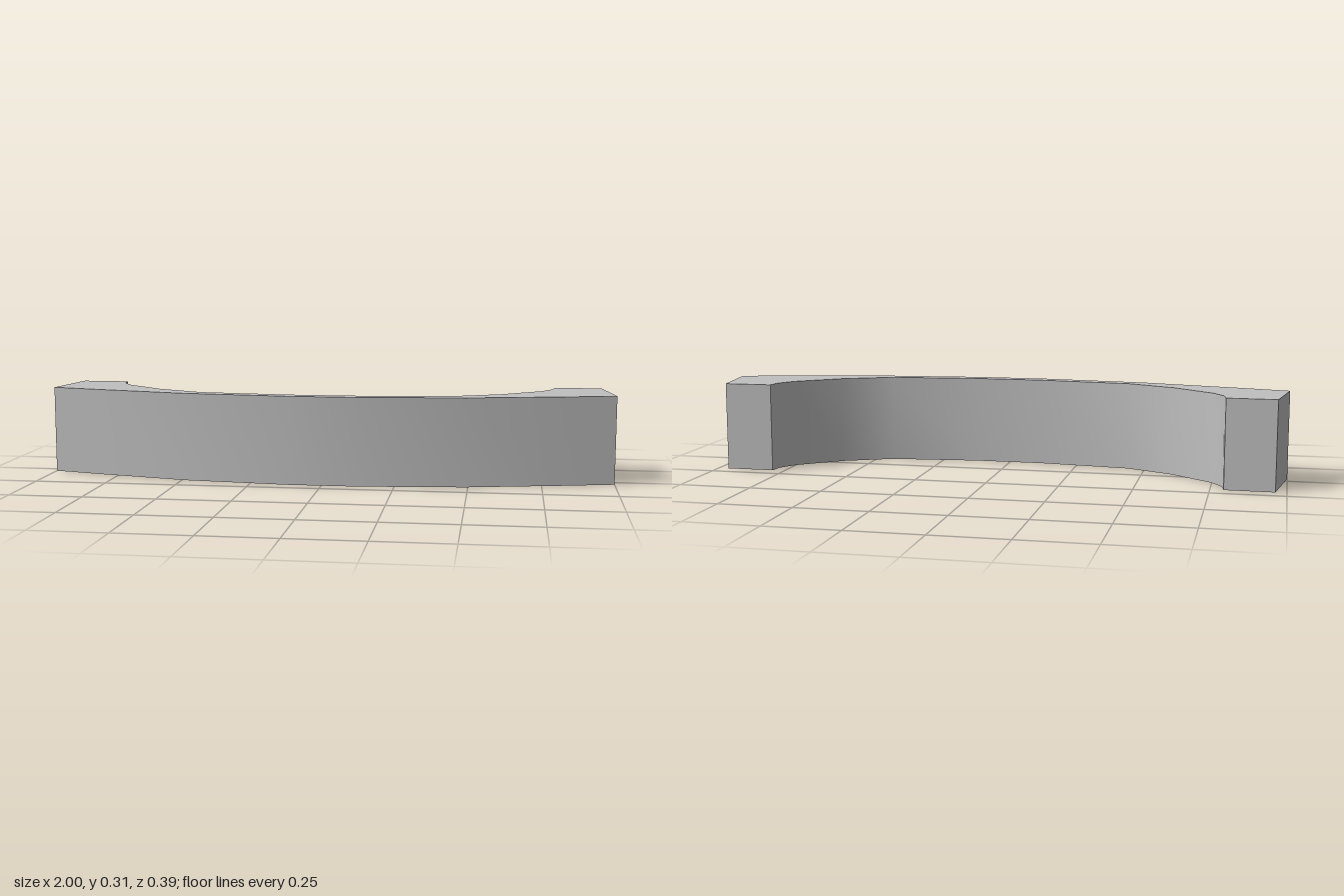
import * as THREE from 'three';
import { toCreasedNormals } from 'three/addons/utils/BufferGeometryUtils.js';

export function createModel() {
  const group = new THREE.Group();
  group.name = 'curvedHandle';

  const grey = new THREE.MeshStandardMaterial({ color: 0xc0c0c0 });
  grey.name = 'light grey';

  // Half of the plan outline as [x, z]: bowed front, end foot, hollow inner side
  const half = [
    [0.12, 0.195], [0.49, 0.158], [0.82, 0.083], [1, 0.038],
    [0.963, -0.195], [0.795, -0.193], [0.787, -0.14], [0.748, -0.08],
    [0.605, 0.035], [0.44, 0.113], [0.12, 0.147],
  ];
  const mirrored = half.map(([x, z]) => [-x, z]).reverse();
  const outline = [...half, ...mirrored].map(([x, z]) => new THREE.Vector2(x, -z));

  // Extrude upwards, smooth along the curves and sharp at the corners
  let geometry = new THREE.ExtrudeGeometry(new THREE.Shape(outline), { depth: 0.307, bevelEnabled: false });
  geometry.rotateX(-Math.PI / 2);
  geometry = toCreasedNormals(geometry, THREE.MathUtils.degToRad(35));

  const bar = new THREE.Mesh(geometry, grey);
  bar.name = 'handleBar';
  group.add(bar);
  return group;
}
